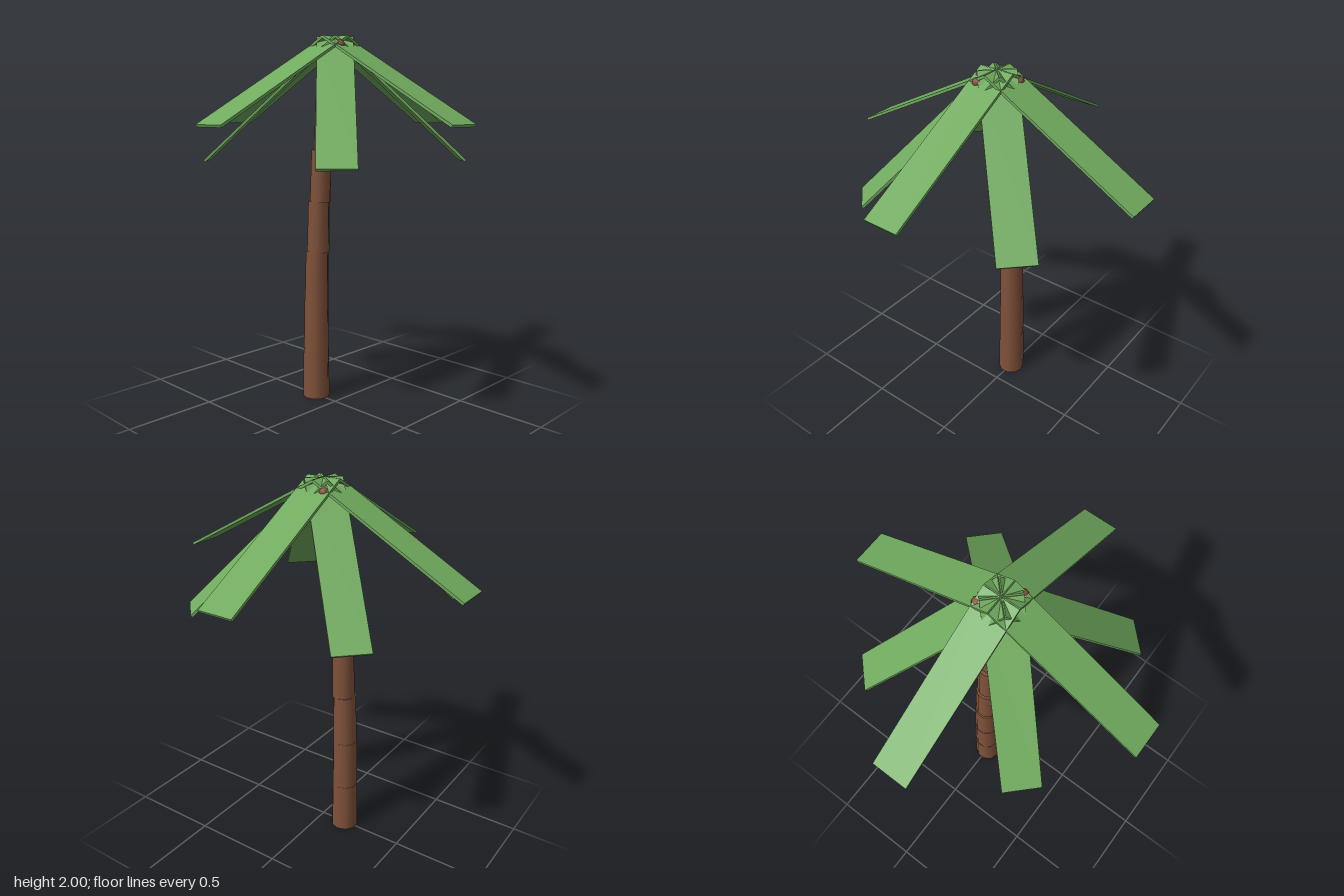
import * as THREE from 'three';

export function createModel() {
  const group = new THREE.Group();
  const bark = new THREE.MeshStandardMaterial({ color: 0x80523a });
  bark.name = 'bark brown';
  const green = new THREE.MeshStandardMaterial({ color: 0x70aa5e });
  green.name = 'leaf green';

  // Leaning trunk: stacked tapered segments
  const centres = [-0.149, -0.146, -0.141, -0.127, -0.107, -0.08, -0.045];
  const step = 0.281;
  centres.forEach((x, i) => {
    const bottom = 0.076 - 0.0045 * i;
    const height = i === centres.length - 1 ? 0.23 : step + 0.004;
    const geo = new THREE.CylinderGeometry(bottom - 0.004, bottom, height, 10);
    const segment = new THREE.Mesh(geo, bark);
    segment.name = 'trunkSegment' + (i + 1);
    segment.position.set(x, i * step + height / 2, 0);
    segment.rotation.z = -0.008 * i;
    group.add(segment);
  });

  // Eight flat fronds from the crown; the diagonal ones droop more
  const length = 0.93;
  const leafGeo = new THREE.BoxGeometry(length, 0.014, 0.19).translate(length / 2, 0, 0);
  for (let i = 0; i < 8; i++) {
    const droop = THREE.MathUtils.degToRad(i % 2 ? 43 : 28.5);
    const leaf = new THREE.Mesh(leafGeo, green);
    leaf.name = 'frond' + (i + 1);
    leaf.rotation.set(0, (i * Math.PI) / 4, -droop, 'YXZ');
    leaf.position.y = 1.993;
    group.add(leaf);
  }

  // Small brown knots showing between the fronds
  for (const [x, y, z] of [[0.085, 1.95, 0.05], [-0.06, 1.945, -0.085]]) {
    const knot = new THREE.Mesh(new THREE.SphereGeometry(0.025, 10, 8), bark);
    knot.name = 'crownKnot';
    knot.position.set(x, y, z);
    group.add(knot);
  }
  return group;
}
